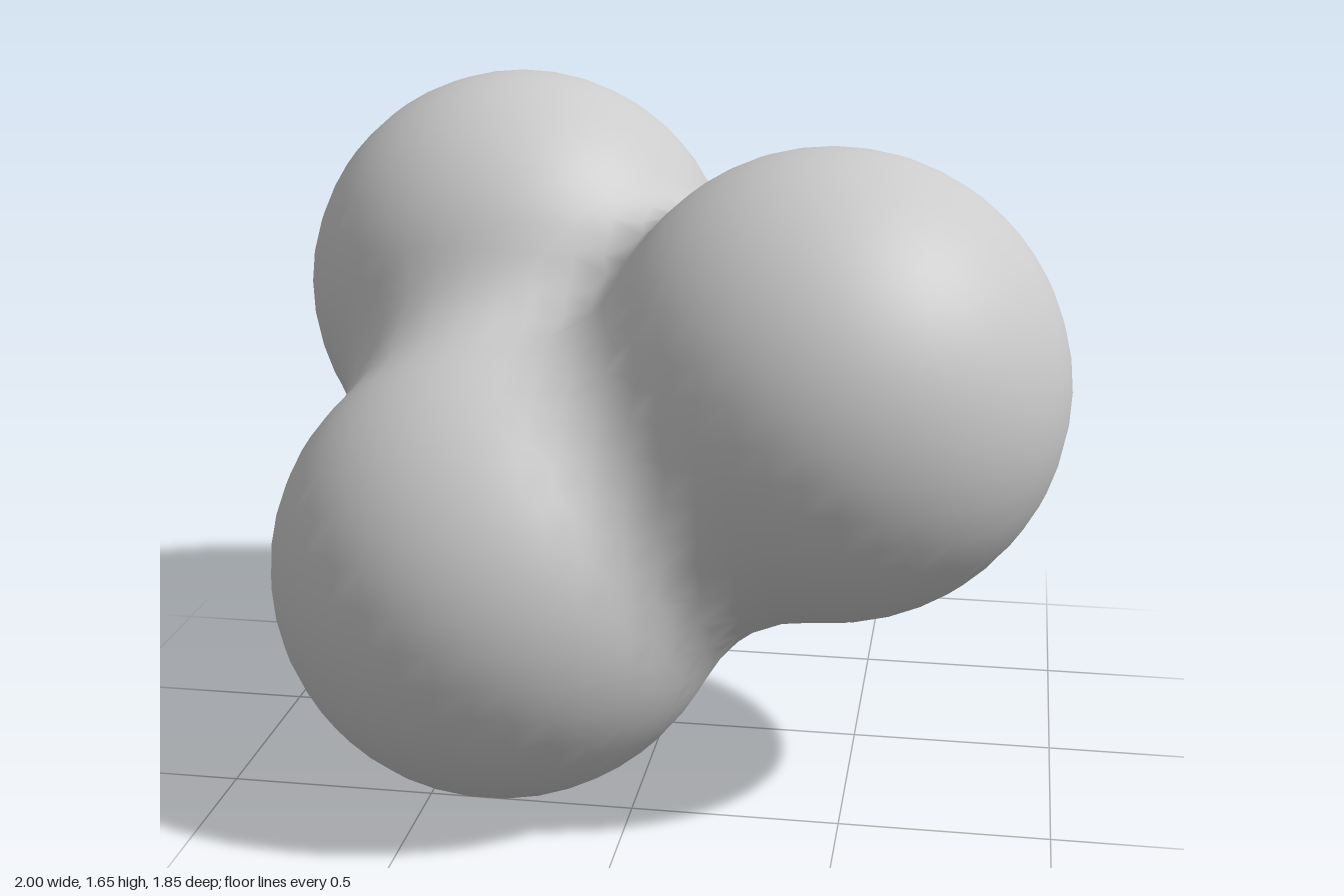
import * as THREE from 'three';

// Three equal balls that melt together where they come close
const BALLS = [
  new THREE.Vector3(-0.44, 1.09, -0.37), // back
  new THREE.Vector3(0.44, 1.02, 0.26),   // left
  new THREE.Vector3(-0.335, 0.56, 0.365), // front
];
const RADIUS = 0.56;
const REACH = 0.82;     // distance at which a ball stops pulling
const THRESHOLD = (1 - (RADIUS / REACH) ** 2) ** 3; // field strength on the skin
const CELL = 0.08;

// Positive inside the skin; fills grad with the outward direction
function field(p, grad) {
  let sum = -THRESHOLD;
  if (grad) grad.set(0, 0, 0);
  for (const c of BALLS) {
    const k = 1 - p.distanceToSquared(c) / (REACH * REACH);
    if (k <= 0) continue;
    sum += k ** 3;
    if (grad) grad.addScaledVector(p.clone().sub(c), 6 * k * k / (REACH * REACH));
  }
  return sum;
}

// Wraps a skin of quads around the field, one vertex per crossed grid cell
function blendedSkin() {
  const min = new THREE.Vector3(-1.13, -0.13, -1.13);
  const size = [29, 25, 29];
  const at = (i) => (i[2] * size[1] + i[1]) * size[0] + i[0];
  const point = (i) => new THREE.Vector3(...i).multiplyScalar(CELL).add(min);
  const eachNode = (fn) => {
    for (let z = 1; z < size[2] - 1; z++)
      for (let y = 1; y < size[1] - 1; y++)
        for (let x = 1; x < size[0] - 1; x++) fn([x, y, z]);
  };
  const positions = [], normals = [], indices = [];
  const cellVertex = new Map();
  const grad = new THREE.Vector3();

  // Start at the cell centre and slide onto the skin
  const vertex = (cell) => {
    const key = at(cell);
    if (!cellVertex.has(key)) {
      const p = point(cell).addScalar(CELL / 2);
      for (let n = 0; n < 8; n++) {
        const f = field(p, grad);
        p.addScaledVector(grad, f / Math.max(grad.lengthSq(), 0.05));
      }
      field(p, grad);
      grad.normalize();
      cellVertex.set(key, positions.length / 3);
      positions.push(p.x, p.y, p.z);
      normals.push(grad.x, grad.y, grad.z);
    }
    return cellVertex.get(key);
  };

  // Every grid edge that crosses the skin joins its four cells
  eachNode((node) => {
    const inside = field(point(node)) > 0;
    for (let a = 0; a < 3; a++) {
      const next = [...node];
      next[a]++;
      if (field(point(next)) > 0 === inside) continue;
      const b = (a + 1) % 3, c = (a + 2) % 3;
      const ring = [[0, 0], [1, 0], [1, 1], [0, 1]].map(([db, dc]) => {
        const cell = [...node];
        cell[b] -= db;
        cell[c] -= dc;
        return vertex(cell);
      });
      if (!inside) ring.reverse();
      indices.push(ring[0], ring[1], ring[2], ring[0], ring[2], ring[3]);
    }
  });

  const geometry = new THREE.BufferGeometry();
  geometry.setAttribute('position', new THREE.Float32BufferAttribute(positions, 3));
  geometry.setAttribute('normal', new THREE.Float32BufferAttribute(normals, 3));
  geometry.setIndex(indices);
  return geometry;
}

export function createModel() {
  const group = new THREE.Group();
  group.name = 'blob';
  const skin = new THREE.Mesh(blendedSkin(), new THREE.MeshStandardMaterial({ color: 0xcccccc }));
  skin.name = 'mergedBalls';
  group.add(skin);
  return group;
}
